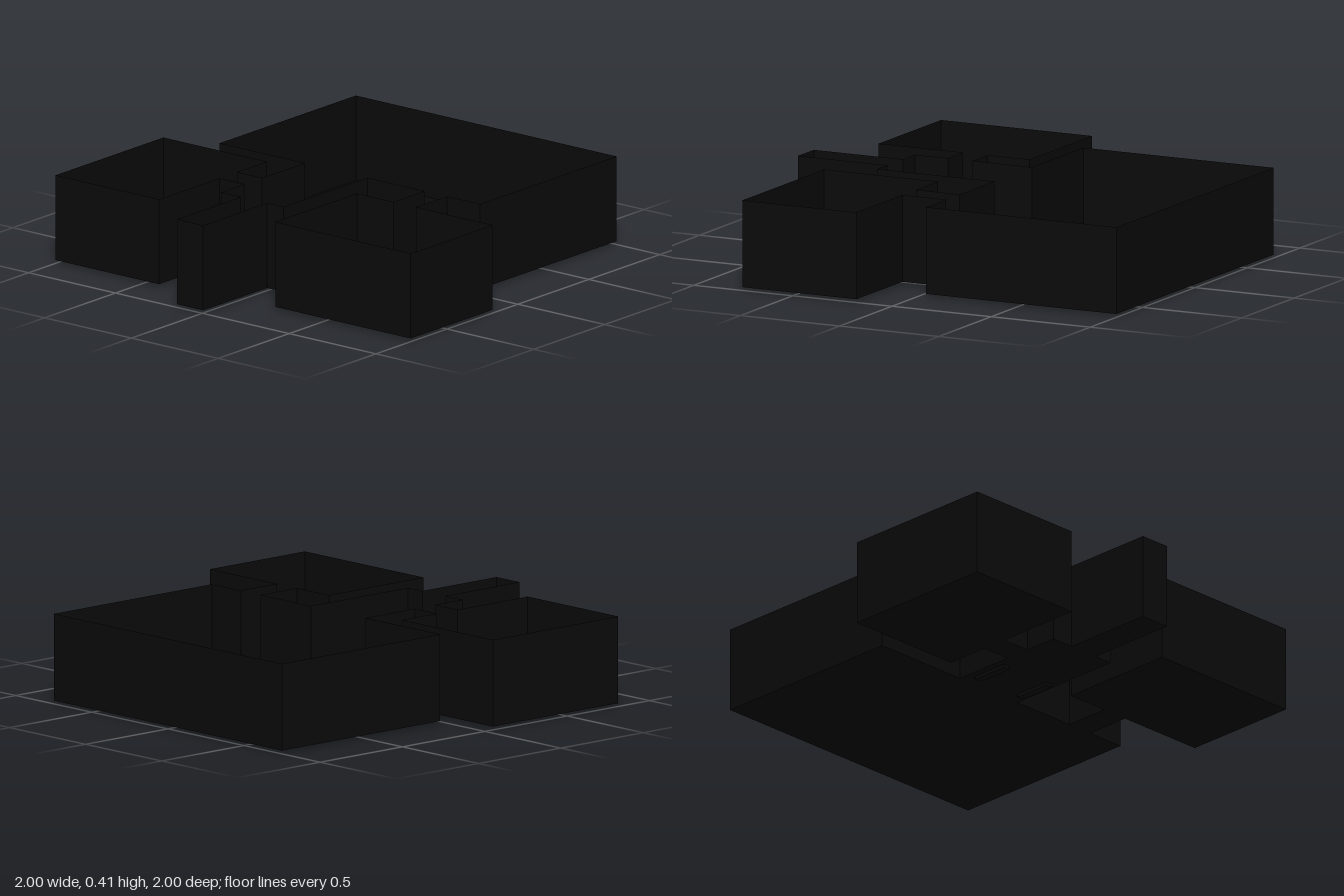
import * as THREE from 'three';

const FLOOR = 0.015, TOP = 0.41;

// Each space: floor rectangle [x0, z0, x1, z1] and wall runs, open at the doorways
const SPACES = [
  { name: 'mainHall', floor: [-0.75, -1, 0.75, -0.04], walls: [
    [[-0.26, -0.04], [-0.75, -0.04], [-0.75, -1], [0.75, -1], [0.75, -0.04], [0.56, -0.04]],
    [[0.43, -0.04], [0.1, -0.04]]] },
  { name: 'lobby', floor: [-0.26, -0.04, 0.1, 0.55], walls: [
    [[0.1, -0.04], [0.1, 0.55], [0.005, 0.55]],
    [[-0.145, 0.55], [-0.26, 0.55], [-0.26, 0.385]],
    [[-0.26, 0.26], [-0.26, -0.04]]] },
  { name: 'entryCorridor', floor: [-0.145, 0.55, 0.005, 1], walls: [
    [[0.005, 0.55], [0.005, 1], [-0.145, 1], [-0.145, 0.55]]] },
  { name: 'rightRoom', floor: [-1, 0.05, -0.405, 0.81], walls: [
    [[-0.405, 0.26], [-0.405, 0.05], [-1, 0.05], [-1, 0.81], [-0.405, 0.81], [-0.405, 0.385]]] },
  { name: 'rightCorridor', floor: [-0.405, 0.26, -0.26, 0.385], walls: [
    [[-0.405, 0.26], [-0.26, 0.26]], [[-0.405, 0.385], [-0.26, 0.385]]] },
  { name: 'leftRoom', floor: [0.22, 0.18, 1, 0.755], walls: [
    [[0.56, 0.18], [1, 0.18], [1, 0.755], [0.22, 0.755], [0.22, 0.18], [0.43, 0.18]]] },
  { name: 'leftCorridor', floor: [0.43, -0.04, 0.56, 0.18], walls: [
    [[0.43, -0.04], [0.43, 0.18]], [[0.56, -0.04], [0.56, 0.18]]] },
];

export function createModel() {
  const model = new THREE.Group();
  model.name = 'floorPlan';
  const black = new THREE.MeshStandardMaterial({ color: 0x0a0a0a, side: THREE.DoubleSide });
  black.name = 'black';

  const add = (parent, name, geometry, x, y, z) => {
    const mesh = new THREE.Mesh(geometry, black);
    mesh.name = name;
    mesh.position.set(x, y, z);
    parent.add(mesh);
    return mesh;
  };

  for (const { name, floor: [x0, z0, x1, z1], walls } of SPACES) {
    const space = new THREE.Group();
    space.name = name;
    model.add(space);

    // Floor sheet
    add(space, 'floor', new THREE.PlaneGeometry(x1 - x0, z1 - z0),
      (x0 + x1) / 2, FLOOR, (z0 + z1) / 2).rotation.x = -Math.PI / 2;

    // Wall sheets along each run
    for (const run of walls) {
      for (let i = 1; i < run.length; i++) {
        const [ax, az] = run[i - 1], [bx, bz] = run[i];
        const length = Math.hypot(bx - ax, bz - az);
        add(space, 'wall', new THREE.PlaneGeometry(length, TOP - FLOOR),
          (ax + bx) / 2, (TOP + FLOOR) / 2, (az + bz) / 2).rotation.y = Math.atan2(az - bz, bx - ax);
      }
    }
  }

  // Low benches on both sides of the lobby, set slightly into the floor
  for (const x of [-0.21, 0.057]) add(model, 'bench', new THREE.BoxGeometry(0.036, 0.06, 0.18), x, 0.03, 0.115);

  // Small panel in the lobby and a round stand in the right room
  add(model, 'panel', new THREE.BoxGeometry(0.1, 0.08, 0.008), -0.075, FLOOR + 0.04, 0.31);
  add(model, 'roundStand', new THREE.CylinderGeometry(0.028, 0.028, 0.08, 16), -0.91, FLOOR + 0.04, 0.31);

  return model;
}
